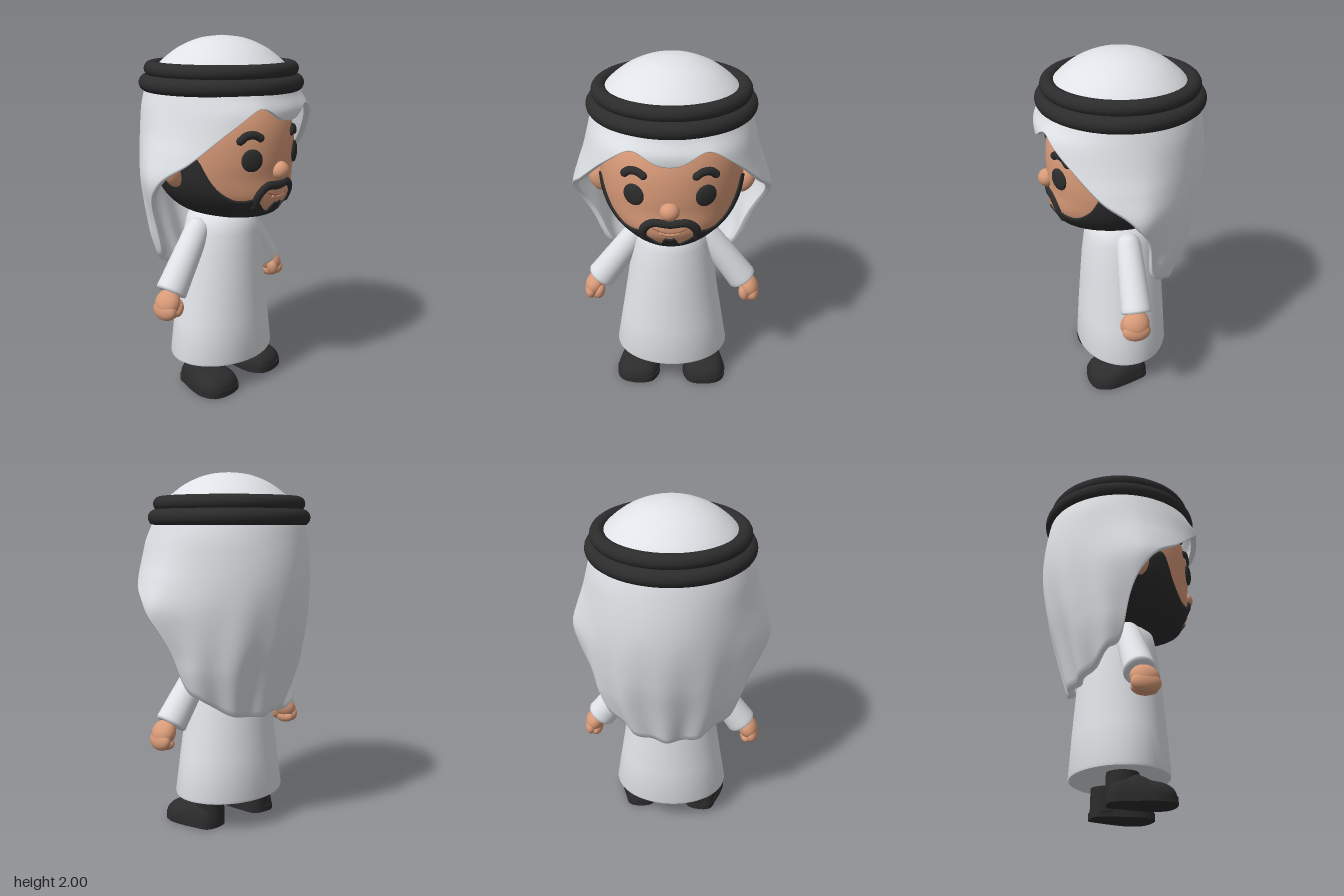
import * as THREE from 'three';
import { toCreasedNormals } from 'three/addons/utils/BufferGeometryUtils.js';

const paint = (name, color) => Object.assign(new THREE.MeshStandardMaterial({ color }), { name });
const V2 = (pts) => pts.map(([x, y]) => new THREE.Vector2(x, y));
const { smoothstep, clamp } = THREE.MathUtils;

// smooth function through [input, output] pairs
function smooth(pairs) {
  const f = new THREE.CubicInterpolant(pairs.map((p) => p[0]), pairs.map((p) => p[1]), 1);
  return (t) => f.evaluate(t)[0];
}

// closed ring surface: columns run around y, rows run downwards
function ringSurface(columns, rows, point) {
  const pos = [], idx = [];
  for (let j = 0; j <= rows; j++) {
    for (let i = 0; i < columns; i++) pos.push(...point((i / columns) * Math.PI * 2, j));
  }
  for (let j = 0; j < rows; j++) {
    for (let i = 0; i < columns; i++) {
      const n = (i + 1) % columns;
      const a = j * columns + i, b = a + columns, c = j * columns + n, d = c + columns;
      idx.push(a, b, c, c, b, d);
    }
  }
  const g = new THREE.BufferGeometry();
  g.setAttribute('position', new THREE.Float32BufferAttribute(pos, 3));
  g.setIndex(idx);
  g.computeVertexNormals();
  return g;
}

// head surface: angle is measured from the front, the chin juts forward
function headPoint(angle, y, off = 0) {
  const u = Math.min(1, Math.abs(y - 1.4) / 0.39);
  const r = 0.395 * Math.pow(1 - Math.pow(u, 2.4), 1 / 2.4) + off;
  const chin = 0.25 * (1 - smoothstep(y, 1.05, 1.3)) + 0.28 * (1 - smoothstep(y, 1.01, 1.11));
  const c = Math.cos(angle);
  return [Math.sin(angle) * r, y, c * r * (c > 0 ? 1 + chin : 1) + 0.012];
}
function onFace(x, y, off = 0) {
  const r = headPoint(Math.PI / 2, y)[0];
  return new THREE.Vector3(...headPoint(Math.asin(x / r), y, off));
}

export function createModel() {
  const cloth = paint('white cloth', 0xdfe2e6);
  const skin = paint('skin', 0xd89a78);
  const black = paint('black', 0x2c2c2c);
  const lipBrown = paint('lip brown', 0xa8705a);

  const model = new THREE.Group();
  const add = (name, geo, mat, parent = model) => {
    const m = new THREE.Mesh(geo, mat);
    m.name = name;
    parent.add(m);
    return m;
  };
  const blob = (name, mat, pos, size, parent = model) => {
    const m = add(name, new THREE.SphereGeometry(1, 28, 20), mat, parent);
    m.position.set(...pos);
    m.scale.set(...size);
    return m;
  };
  // rounded stroke lying on the face
  const stroke = (name, mat, pts, radius, off = 0) => {
    const path = new THREE.CatmullRomCurve3(pts.map(([x, y]) => onFace(x, y, off)));
    add(name, new THREE.TubeGeometry(path, 40, radius, 10), mat);
    for (const t of [0, 1]) blob(name + 'End', mat, path.getPoint(t).toArray(), [radius, radius, radius]);
  };

  // head
  add('head', ringSurface(64, 40, (a, j) => headPoint(a, 1.4 + 0.39 * Math.cos((Math.PI * j) / 40))), skin);

  // beard: layer over the jaw with a shaped upper edge
  const beardEdge = smooth([[0, 1.13], [0.1, 1.13], [0.14, 1.095], [0.28, 1.1], [0.38, 1.135], [0.46, 1.165],
    [0.62, 1.162], [0.81, 1.172], [1.0, 1.235], [1.12, 1.32], [1.22, 1.385], [1.6, 1.31], [3.15, 1.2]]);
  add('beard', ringSurface(160, 21, (a, j) => {
    const edge = beardEdge(Math.min(a, Math.PI * 2 - a));
    if (j === 0) return headPoint(a, edge, -0.01);
    const t = 1 - (j - 1) / 20;
    return headPoint(a, 1.01 + (edge - 1.01) * t * t, 0.008 * Math.min(1, t * 8));
  }), black);
  blob('chinBase', black, [0, 1.04, 0.07], [0.17, 0.029, 0.2]);

  // facial features
  stroke('moustache', black, [[-0.14, 1.125], [-0.138, 1.185], [-0.09, 1.228], [0, 1.226],
    [0.09, 1.228], [0.138, 1.185], [0.14, 1.125]], 0.026, -0.008);
  stroke('mouth', lipBrown, [[-0.085, 1.196], [-0.04, 1.18], [0, 1.175], [0.04, 1.18], [0.085, 1.196]], 0.006, -0.002);
  stroke('lowerLip', skin, [[-0.045, 1.168], [0, 1.161], [0.045, 1.168]], 0.012, -0.006);
  blob('nose', skin, [0, 1.305, 0.408], [0.052, 0.05, 0.048]);
  for (const s of [1, -1]) {
    const eye = blob('eye', black, onFace(0.185 * s, 1.38, 0.002).toArray(), [0.06, 0.06, 0.018]);
    eye.rotation.y = 0.49 * s;
    stroke('eyebrow', black, [[0.135 * s, 1.493], [0.165 * s, 1.508], [0.205 * s, 1.506], [0.235 * s, 1.483]], 0.023, -0.006);
    const ear = blob('ear', skin, [0.405 * s, 1.3, 0.01], [0.054, 0.08, 0.045]);
    ear.rotation.z = -0.45 * s;
  }

  // headscarf: thick draped shell with a wavy hem, open at the face
  const hem = smooth([[0, 1.575], [0.12, 1.585], [0.44, 1.65], [0.75, 1.55], [1.1, 1.385], [1.5, 1.25], [1.72, 1.09],
    [1.86, 0.86], [2.1, 0.785], [2.5, 0.69], [3.15, 0.655]]);
  const halfWidth = smooth([[0.62, 0.32], [0.84, 0.42], [1, 0.47], [1.15, 0.525], [1.27, 0.553], [1.4, 0.52],
    [1.5, 0.485], [1.7, 0.432], [1.76, 0.415]]);
  const back = smooth([[0.62, 0.275], [0.9, 0.36], [1.1, 0.42], [1.4, 0.463], [1.7, 0.432], [1.76, 0.415]]);
  const front = smooth([[1.2, 0.42], [1.4, 0.43], [1.55, 0.455], [1.63, 0.46], [1.7, 0.432], [1.76, 0.415]]);
  const rows = 28;
  add('headscarf', ringSurface(180, rows * 2 + 1, (a, j) => {
    const inner = j > rows;
    const t = (inner ? rows * 2 + 1 - j : j) / rows;
    const y = 1.75 + (hem(Math.min(a, Math.PI * 2 - a)) - 1.75) * t;
    const c = Math.cos(a);
    // the sides flare out, and the flare fades towards the back
    const wide = halfWidth(y), base = Math.min(wide, 0.45);
    const w = c > 0 ? wide : base + (wide - base) * Math.exp(-4 * c * c);
    const brim = c > 0 ? 0.028 * t * Math.sin(2 * a) ** 2 : 0;
    const fold = 0.018 * Math.max(0, 1.4 - y) * Math.cos(a * 12) + brim - (inner ? 0.032 : 0);
    return [Math.sin(a) * (w + fold), y, c * ((c > 0 ? front(y) : back(y)) + fold)];
  }), cloth);
  add('scarfCrown', new THREE.LatheGeometry(new THREE.SplineCurve(V2([[0.425, 1.72], [0.4, 1.78], [0.36, 1.835],
    [0.31, 1.885], [0.23, 1.941], [0.12, 1.985], [0, 2]])).getPoints(30), 64), cloth);

  // double head cord
  for (const [name, y, r, tube] of [['upperCord', 1.825, 0.384, 0.041], ['lowerCord', 1.75, 0.409, 0.046]]) {
    const cord = add(name, new THREE.TorusGeometry(r, tube, 18, 72), black);
    cord.rotation.x = Math.PI / 2;
    cord.position.set(0, y, -0.005);
  }

  // robe: flared, rounder at the shoulders and flatter at the hem
  const robe = new THREE.LatheGeometry(V2([[0, 0.165], [0.32, 0.165], [0.334, 0.171], [0.337, 0.185], [0.302, 0.4],
    [0.267, 0.62], [0.24, 0.8], [0.217, 0.92], [0.195, 1], [0.14, 1.045], [0, 1.06]]), 64);
  const p = robe.attributes.position;
  for (let i = 0; i < p.count; i++) {
    const t = clamp((p.getY(i) - 0.165) / 0.835, 0, 1);
    p.setZ(i, p.getZ(i) * (0.8 + 0.2 * t) - 0.005);
  }
  add('robe', toCreasedNormals(robe, 0.8), cloth);

  const sleeve = new THREE.LatheGeometry(V2([[0, -0.38], [0.07, -0.385], [0.083, -0.382], [0.088, -0.37],
    [0.086, -0.35], [0.08, -0.2], [0.071, 0], [0.06, 0.035], [0.035, 0.06], [0, 0.068]]), 36);

  // shoe outline, toe towards +z: flat sole and a domed upper
  const half = [[0, -0.122], [0.07, -0.105], [0.098, -0.03], [0.122, 0.06], [0.13, 0.14], [0.095, 0.218], [0, 0.243]];
  const outline = [...half, ...half.slice(1, -1).reverse().map(([x, z]) => [-x, z])];
  const edge = new THREE.CatmullRomCurve3(outline.map(([x, z]) => new THREE.Vector3(x, 0, z)), true);
  const sole = new THREE.ExtrudeGeometry(new THREE.Shape(edge.getPoints(48).slice(0, -1).map((q) => new THREE.Vector2(q.x, q.z))),
    { depth: 0.036, bevelEnabled: false }).rotateX(Math.PI / 2).translate(0, 0.036, 0);
  const upper = ringSurface(48, 14, (a, j) => {
    const q = edge.getPoint((1.5 - a / (Math.PI * 2)) % 1);
    const r = Math.sin((j / 14) * Math.PI / 2);
    const z = 0.06 + (q.z - 0.06) * r * 0.97;
    const height = 0.086 + 0.035 * (1 - smoothstep(z, 0.02, 0.11));
    return [q.x * r * 0.97, 0.034 + height * Math.pow(1 - r ** 3, 0.5), z];
  });

  for (const s of [1, -1]) {
    const arm = add('sleeve', sleeve, cloth);
    arm.position.set(0.203 * s, 0.94, -0.008);
    arm.rotation.z = 0.62 * s;

    // hand
    const hand = new THREE.Group();
    hand.name = 'hand';
    model.add(hand);
    blob('palm', skin, [0.463 * s, 0.585, 0.004], [0.057, 0.075, 0.078], hand).rotation.z = 0.5 * s;
    blob('fingers', skin, [0.486 * s, 0.548, 0.004], [0.042, 0.058, 0.08], hand).rotation.z = 0.15 * s;
    blob('fingertips', skin, [0.458 * s, 0.53, 0], [0.037, 0.04, 0.07], hand);
    blob('thumb', skin, [0.433 * s, 0.555, 0.05], [0.03, 0.05, 0.036], hand).rotation.z = 0.25 * s;

    // shoe
    const shoe = new THREE.Group();
    shoe.name = 'shoe';
    shoe.position.set(0.193 * s, 0, 0);
    shoe.rotation.y = 0.08 * s;
    model.add(shoe);
    add('sole', sole, black, shoe);
    add('upper', upper, black, shoe);
    const ankle = add('ankle', new THREE.CylinderGeometry(0.085, 0.088, 0.18, 32), black, shoe);
    ankle.position.set(-0.015 * s, 0.115, -0.035);
  }
  return model;
}
